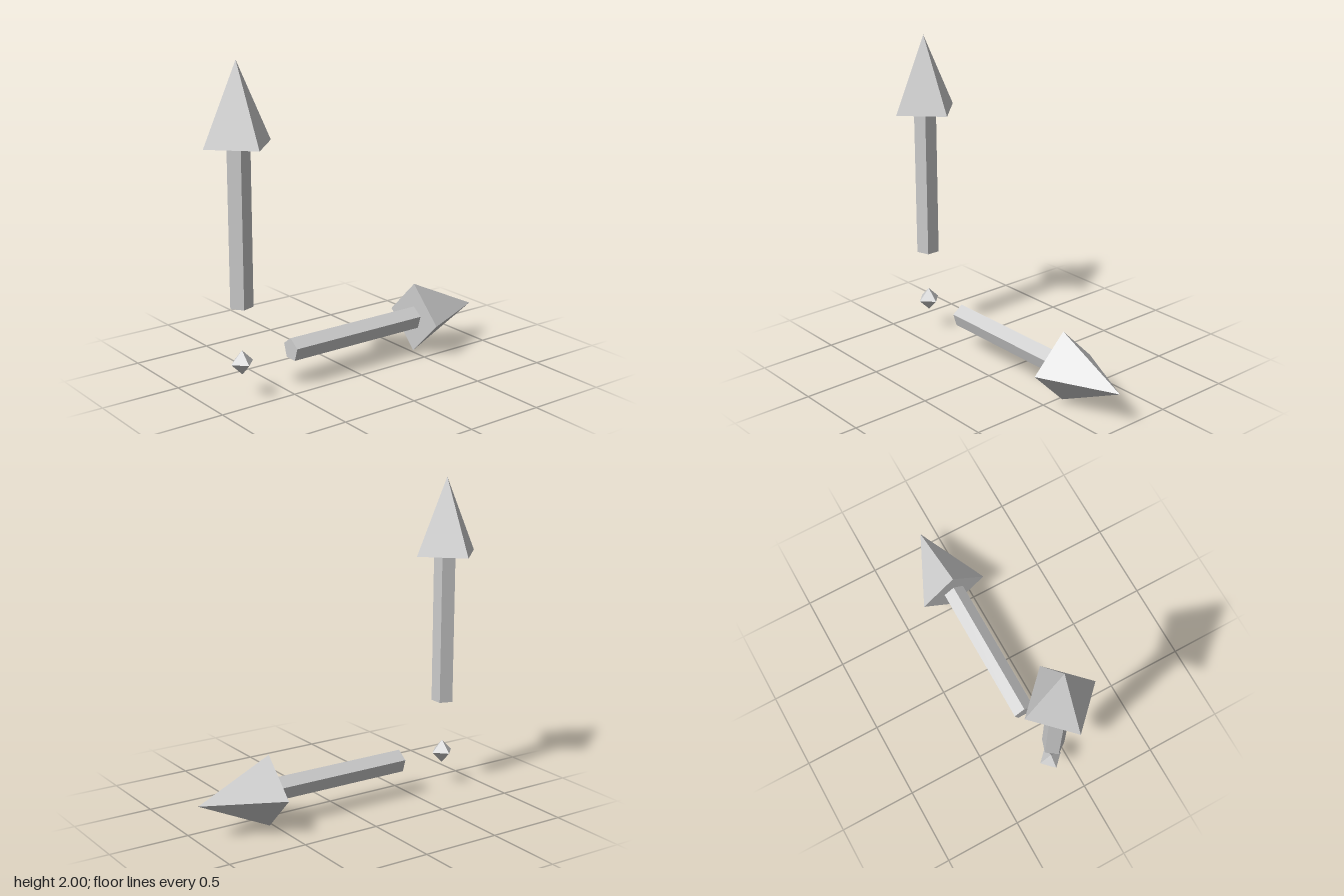
import * as THREE from 'three';

const ORIGIN = [-0.775, 0.228, -0.135];
const SHAFT_START = 0.343, HEAD_START = 1.296, TIP = 1.772;

const material = new THREE.MeshStandardMaterial({ color: 0xcccccc, flatShading: true });

function part(name, geometry) {
  const mesh = new THREE.Mesh(geometry, material);
  mesh.name = name;
  return mesh;
}

// An arrow along +y: five-sided shaft with a ridge on its -x side, four-sided head
function arrow(name) {
  const shaftLength = HEAD_START - SHAFT_START;
  const shaft = new THREE.CylinderGeometry(0.0725, 0.0725, shaftLength, 5)
    .rotateY(-Math.PI / 2)
    .translate(0, SHAFT_START + shaftLength / 2, 0);

  const headLength = TIP - HEAD_START;
  const head = new THREE.ConeGeometry(0.224, headLength, 4)
    .translate(0, HEAD_START + headLength / 2, 0);

  const group = new THREE.Group();
  group.name = name;
  group.add(part('arrowShaft', shaft), part('arrowHead', head));
  return group;
}

export function createModel() {
  const model = new THREE.Group();
  model.name = 'axisArrows';

  // Small diamond where the two arrows would meet
  const diamond = part('originDiamond', new THREE.OctahedronGeometry(0.075));

  // Upright arrow, and the same arrow laid over towards +x
  const upArrow = arrow('upArrow');
  const sideArrow = arrow('sideArrow');
  sideArrow.rotation.z = -Math.PI / 2;

  for (const piece of [diamond, upArrow, sideArrow]) {
    piece.position.set(...ORIGIN);
    model.add(piece);
  }
  return model;
}
